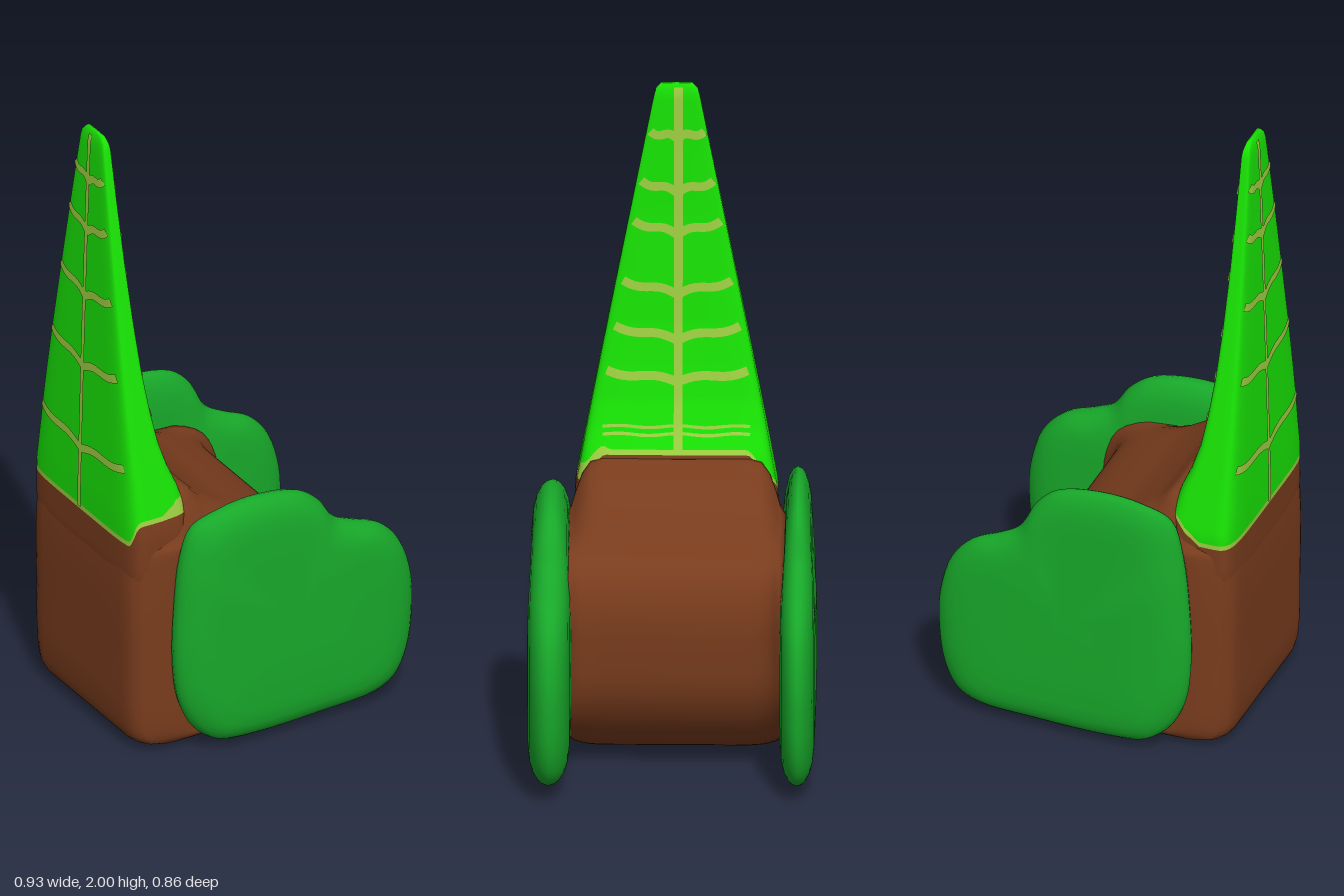
import * as THREE from 'three';

const mat = (name, color, side = THREE.FrontSide) => {
  const m = new THREE.MeshStandardMaterial({ color, side });
  m.name = name;
  return m;
};
const { lerp, smoothstep } = THREE.MathUtils;

// Piecewise interpolation in a small [key, value] table
function table(rows) {
  return (k) => {
    let i = 0;
    while (i < rows.length - 2 && k > rows[i + 1][0]) i++;
    const [a, va] = rows[i], [b, vb] = rows[i + 1];
    return lerp(va, vb, Math.min(1, Math.max(0, (k - a) / (b - a))));
  };
}

function surface(pos, index) {
  const g = new THREE.BufferGeometry();
  g.setAttribute('position', new THREE.Float32BufferAttribute(pos, 3));
  g.setIndex(index);
  g.computeVertexNormals();
  return g;
}

// Skin closed rings of [x, y, z] points, counterclockwise around the axis
function loft(rings, capStart = true, capEnd = true) {
  const n = rings[0].length, pos = rings.flat(2), index = [];
  for (let i = 0; i < rings.length - 1; i++) {
    for (let j = 0; j < n; j++) {
      const a = i * n + j, b = i * n + (j + 1) % n;
      index.push(a, b, b + n, a, b + n, a + n);
    }
  }
  const cap = (r, flip) => {
    const c = pos.length / 3;
    for (let k = 0; k < 3; k++) pos.push(rings[r].reduce((s, p) => s + p[k], 0) / n);
    for (let j = 0; j < n; j++) {
      const a = r * n + j, b = r * n + (j + 1) % n;
      index.push(c, flip ? b : a, flip ? a : b);
    }
  };
  if (capStart) cap(0, true);
  if (capEnd) cap(rings.length - 1, false);
  return surface(pos, index);
}

// Smooth closed outline through a few points
const outline = (pts, count) => new THREE.CatmullRomCurve3(
  pts.map(([x, y]) => new THREE.Vector3(x, y, 0)), true).getPoints(count).slice(0, count);

// Leaf backrest: back face, front face and half width by height
const leafBack = table([[0.5, -0.452], [0.62, -0.46], [0.8, -0.46], [1.2, -0.45], [1.6, -0.438], [1.9, -0.428], [1.97, -0.425], [2, -0.418]]);
const leafFront = table([[0.6, -0.26], [0.8, -0.25], [0.87, -0.27], [0.94, -0.3], [1.02, -0.325], [1.12, -0.343],
  [1.25, -0.36], [1.4, -0.372], [1.6, -0.383], [1.8, -0.39], [1.97, -0.394], [2, -0.402]]);
const leafHalf = table([[0.5, 0.285], [0.62, 0.303], [0.75, 0.303], [0.87, 0.281], [1, 0.256], [1.96, 0.069], [1.985, 0.062], [2, 0.046]]);
const leafZ = -0.01, ROUND = 0.32;

// Seam heights around the leaf: u runs back to front, v right to left
const collarLow = () => 0.54;
const seamLow = (u, v) => lerp(0.71 + 0.075 * smoothstep(v, 0.86, 1),
  0.87 - 0.08 * smoothstep(Math.abs(v), 0.75, 0.98), smoothstep(u, 0.5, 0.95));
const seamHigh = (u, v) => seamLow(u, v) + 0.015
  + 0.035 * smoothstep(u, 0.6, 0.8) * smoothstep(v, 0.7, 0.9);
const leafTop = () => 2;

function leafRing(low, high, t) {
  const ring = [], N = 80;
  const sq = (c) => Math.sign(c) * Math.pow(Math.abs(c), ROUND);
  for (let i = 0; i < N; i++) {
    const a = (i / N) * Math.PI * 2;
    const u = 0.5 + 0.5 * sq(Math.cos(a)), v = -sq(Math.sin(a));
    const y = lerp(low(u, v), high(u, v), t);
    ring.push([lerp(leafBack(y), leafFront(y), u), y, leafZ + v * leafHalf(y)]);
  }
  return ring;
}
const leafPart = (low, high, steps, top) =>
  loft(Array.from({ length: steps + 1 }, (_, i) => leafRing(low, high, i / steps)), false, top);

// Point just off the leaf's front or back face
function onLeaf(y, z, front) {
  const v = Math.min(0.97, Math.abs(z - leafZ) / leafHalf(y));
  const c = Math.sqrt(1 - Math.pow(v, 2 / ROUND));
  const u = 0.5 + (front ? 0.5 : -0.5) * Math.pow(c, ROUND);
  return [lerp(leafBack(y), leafFront(y), u) + (front ? 0.004 : -0.004), y, z];
}

// Ribbon lying on the leaf through [z, y] points
function ribbon(pts, width, front) {
  const pos = [], index = [];
  pts.forEach(([z, y], i) => {
    const p = pts[Math.max(0, i - 1)], q = pts[Math.min(pts.length - 1, i + 1)];
    const len = Math.hypot(q[0] - p[0], q[1] - p[1]);
    const nz = -(q[1] - p[1]) / len * width / 2, ny = (q[0] - p[0]) / len * width / 2;
    for (const s of [-1, 1]) pos.push(...onLeaf(y + s * ny, z + s * nz, front));
    if (i) index.push(2 * i - 2, 2 * i - 1, 2 * i + 1, 2 * i - 2, 2 * i + 1, 2 * i);
  });
  return surface(pos, index);
}

export function createModel() {
  const group = new THREE.Group();
  const brown = mat('barkBrown', 0x793c1d);
  const green = mat('armGreen', 0x18a92a);
  const bright = mat('leafGreen', 0x18e404);
  const vein = mat('veinYellow', 0x9ed042, THREE.DoubleSide);
  const add = (name, geo, m) => {
    const mesh = new THREE.Mesh(geo, m);
    mesh.name = name;
    group.add(mesh);
  };

  // Seat: side profile swept across z, flaring into the arms
  const profile = outline([[-0.4, 0.01], [-0.28, 0], [-0.12, 0.01], [0, 0.06], [0.09, 0.15], [0.145, 0.26],
    [0.16, 0.4], [0.155, 0.53], [0.11, 0.635], [0, 0.7], [-0.1, 0.745], [-0.2, 0.81], [-0.265, 0.862],
    [-0.34, 0.78], [-0.44, 0.69], [-0.459, 0.6], [-0.46, 0.3], [-0.455, 0.1], [-0.44, 0.04]], 72);
  // [half width, back inset, front flare, top height factor, bottom lift]
  const half = [[0.1, 0, 0, 1, 0], [0.22, 0, 0, 1, 0], [0.255, 0.005, 0.003, 0.95, 0.003],
    [0.28, 0.014, 0.01, 0.75, 0.008], [0.3, 0.036, 0.025, 0.45, 0.015], [0.312, 0.09, 0.045, 0.25, 0.025],
    [0.335, 0.14, 0.06, 0.1, 0.05]];
  const sections = [...half.map(([z, ...r]) => [-z, ...r]).reverse(), ...half];
  add('seat', loft(sections.map(([z, back, flare, top, lift]) => profile.map((p) => [
    p.x + (p.x < -0.05 ? back * (-0.05 - p.x) / 0.41 : flare * (p.x + 0.05) / 0.21),
    p.y > 0.68 ? 0.68 + (p.y - 0.68) * top : p.y + lift * Math.max(0, 1 - p.y / 0.3),
    z - 0.01]))), brown);

  // Leaf backrest with a brown collar and a pale seam
  add('leafCollar', leafPart(collarLow, seamLow, 8, false), brown);
  add('leafSeam', leafPart(seamLow, seamHigh, 2, false), vein);
  add('leafBackrest', leafPart(seamHigh, leafTop, 64, true), bright);

  // Midrib and side veins on each face: [centre height, end height]
  const frontRibs = [[1.83, 1.855], [1.66, 1.7], [1.53, 1.575], [1.345, 1.39], [1.205, 1.25], [1.08, 1.115]];
  const backRibs = [[1.83, 1.87], [1.66, 1.71], [1.44, 1.49], [1.2, 1.25], [0.92, 0.965]];
  for (const front of [true, false]) {
    const side = front ? 'Front' : 'Back';
    const low = front ? 0.88 : 0.72;
    add('midrib' + side, ribbon(Array.from({ length: 50 }, (_, i) =>
      [-0.015, lerp(low, 1.99, i / 49)]), front ? 0.026 : 0.018, front), vein);
    for (const [y0, y1] of front ? frontRibs : backRibs) {
      for (const s of [-1, 1]) {
        const reach = 0.9 * leafHalf(y1);
        add('sideVein' + side, ribbon(Array.from({ length: 17 }, (_, i) => {
          const k = i / 16;
          return [-0.012 + s * reach * k, lerp(y0, y1, k) + 0.008 * Math.sin(k * 6)];
        }), 0.027, front), vein);
      }
    }
  }
  for (const y of [0.928, 0.95]) {
    add('baseVeinFront', ribbon(Array.from({ length: 17 }, (_, i) =>
      [lerp(-0.23, 0.21, i / 16), y + 0.003 * Math.sin(i)]), 0.009, true), vein);
  }

  // Padded arms: rounded outline swelling through its thickness
  const armPts = [[-0.35, 0.32], [-0.345, 0.5], [-0.325, 0.68], [-0.29, 0.775], [-0.2, 0.817], [-0.06, 0.828],
    [0.07, 0.803], [0.14, 0.75], [0.19, 0.68], [0.26, 0.645], [0.35, 0.608], [0.42, 0.53], [0.457, 0.41],
    [0.461, 0.29], [0.443, 0.16], [0.4, 0.075], [0.33, 0.038], [0.15, 0.025], [-0.1, 0.02], [-0.22, 0.035],
    [-0.285, 0.085], [-0.332, 0.18]].reverse();
  const puff = [[0, 1], [0.27, 0.987], [0.5, 0.958], [0.72, 0.905], [0.87, 0.835], [0.96, 0.72], [1, 0.45]];
  const layers = [...puff.slice(1).map(([d, s]) => [-d, s]).reverse(), ...puff];
  const line = outline(armPts, 88);
  // The back edge bends inward; the top may rise and thin out
  const arm = (z, thick, rise, shorten, thin) => loft(layers.map(([d, s]) => line.map((p) => {
    const up = smoothstep(p.y, 0.6, 0.82);
    const x = 0.03 + (p.x - shorten * smoothstep(p.x, 0.2, 0.46) - 0.03) * s;
    const bend = 0.022 * smoothstep(-x, 0.19, 0.35);
    return [x, 0.39 + (p.y + rise * up - 0.39) * s,
      z - Math.sign(z) * bend + d * thick * (1 - thin * up)];
  })));
  add('leftArm', arm(0.362, 0.065, 0, 0, 0.1), green);
  add('rightArm', arm(-0.378, 0.053, 0.045, 0.01, 0.2), green);
  return group;
}
